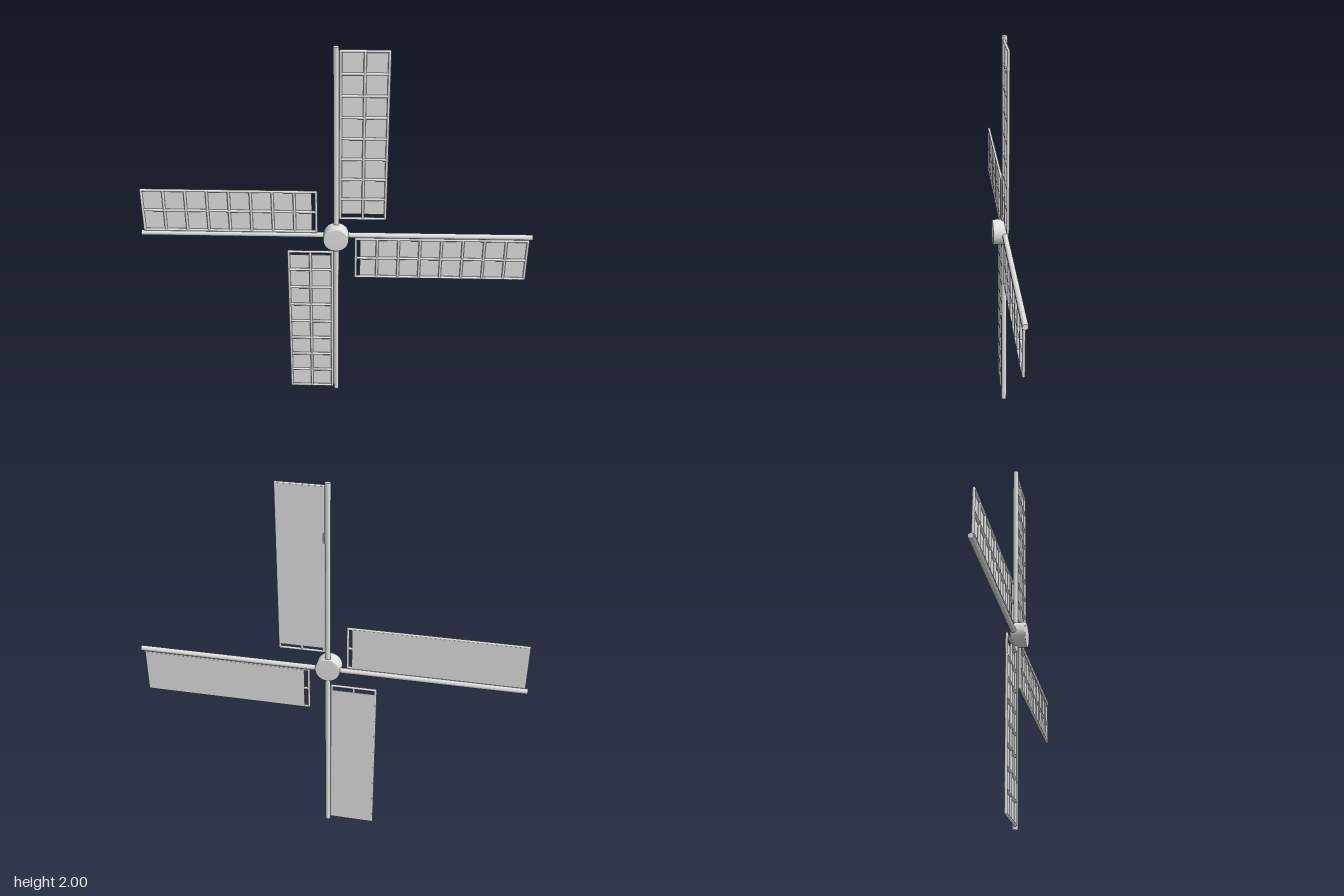
import * as THREE from 'three';

const IN = 0.021, OUT = 0.247;     // rail centre lines across the blade
const LOW = 0.101, HIGH = 0.98;    // rail centre lines along the blade
const PIPE = 0.0072, FRAME_Z = -0.017;

export function createModel() {
  const grey = new THREE.MeshStandardMaterial({ color: 0xe3e3e3 });
  grey.name = 'light grey';
  const model = new THREE.Group();
  model.name = 'windmillSails';

  const add = (parent, name, geometry, x, y, z) => {
    const mesh = new THREE.Mesh(geometry, grey);
    mesh.name = name;
    mesh.position.set(x, y, z);
    parent.add(mesh);
    return mesh;
  };

  // Shared blade geometry: thin pipes, an eight-sided spar and a flat sail
  const midX = (IN + OUT) / 2, midY = (LOW + HIGH) / 2;
  const railGeometry = new THREE.CylinderGeometry(PIPE, PIPE, HIGH - LOW, 8);
  const rungGeometry = new THREE.CylinderGeometry(PIPE, PIPE, OUT - IN, 8).rotateZ(Math.PI / 2);
  const cornerGeometry = new THREE.SphereGeometry(PIPE, 8, 6);
  const sparGeometry = new THREE.CylinderGeometry(0.0146, 0.0146, 1, 8).rotateY(Math.PI / 8);
  const sailGeometry = new THREE.BoxGeometry(0.226, 0.858, 0.003);

  // Four blades turned around the hub
  for (let i = 0; i < 4; i++) {
    const blade = new THREE.Group();
    blade.name = 'blade';
    blade.position.y = 1;
    blade.rotation.z = -i * Math.PI / 2;
    model.add(blade);

    add(blade, 'spar', sparGeometry, 0, 0.5, -0.021);
    for (const x of [IN, midX, OUT]) add(blade, 'frameRail', railGeometry, x, midY, FRAME_Z);
    for (let k = 0; k <= 8; k++) {
      add(blade, 'frameRung', rungGeometry, midX, LOW + k * (HIGH - LOW) / 8, FRAME_Z);
    }
    for (const x of [IN, OUT]) {
      for (const y of [LOW, HIGH]) add(blade, 'frameCorner', cornerGeometry, x, y, FRAME_Z);
    }
    // Sail cloth lies against the back of the lattice
    add(blade, 'sail', sailGeometry, midX, 0.552, -0.0235);
  }

  // Hub with softened rims
  const R = 0.065, H = 0.039, B = 0.006;
  const profile = [
    [0, -H], [R - B, -H], [R - B * 0.3, -H + B * 0.3], [R, -H + B],
    [R, H - B], [R - B * 0.3, H - B * 0.3], [R - B, H], [0, H],
  ].map(([x, y]) => new THREE.Vector2(x, y));
  const hub = add(model, 'hub', new THREE.LatheGeometry(profile, 40), 0, 1, 0);
  hub.rotation.x = Math.PI / 2;

  return model;
}
